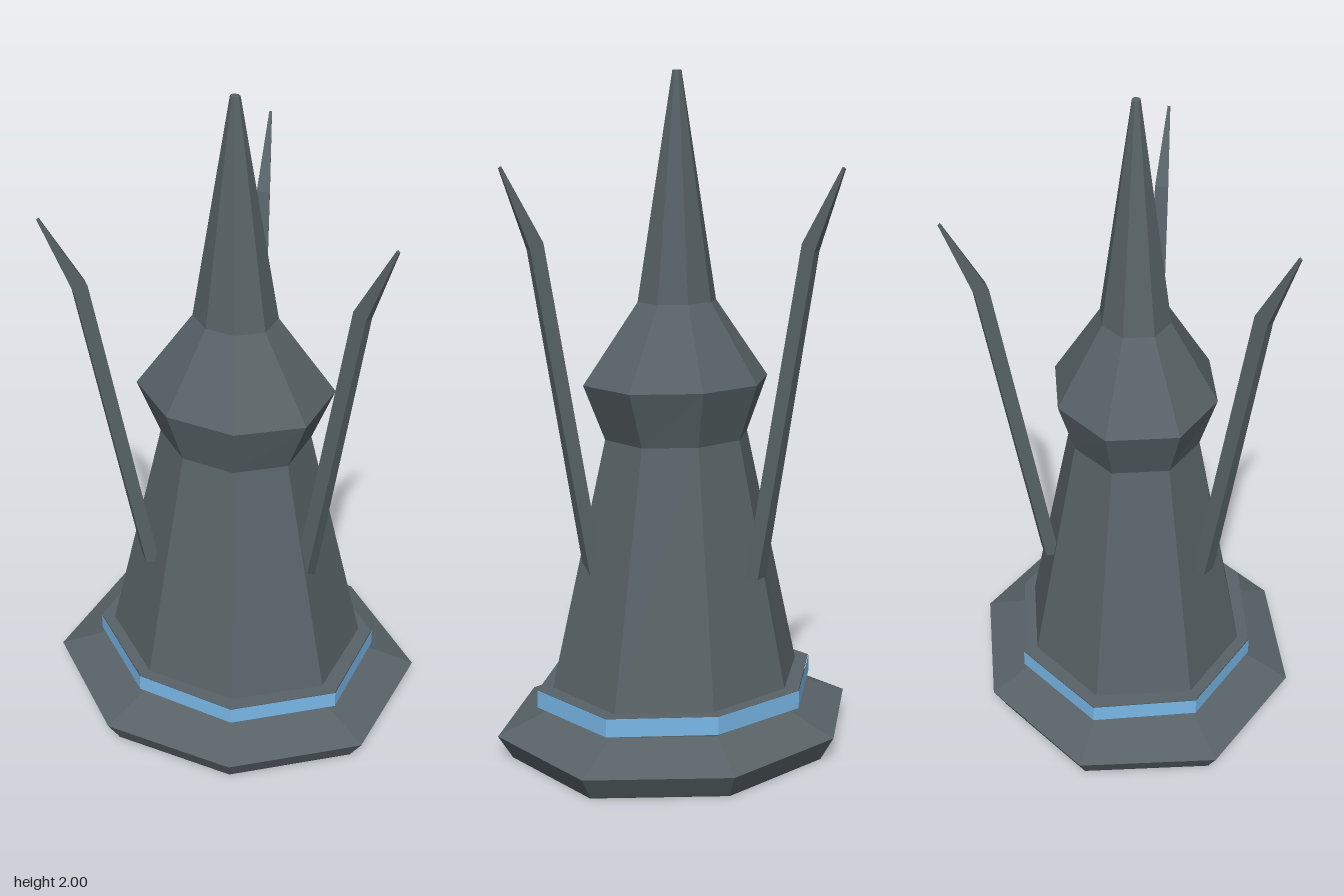
import * as THREE from 'three';

// Skin a stack of rings (bottom to top), optionally closing the ends
function loft(rings, capBottom = true, capTop = true) {
  const pos = [];
  const n = rings[0].length;
  const tri = (a, b, c) => pos.push(...a, ...b, ...c);
  for (let k = 0; k < rings.length - 1; k++) {
    for (let i = 0; i < n; i++) {
      const j = (i + 1) % n;
      const lo = rings[k], hi = rings[k + 1];
      tri(lo[i], hi[i], lo[j]);
      tri(lo[j], hi[i], hi[j]);
    }
  }
  const bottom = rings[0], top = rings[rings.length - 1];
  for (let i = 1; i < n - 1; i++) {
    if (capBottom) tri(bottom[0], bottom[i], bottom[i + 1]);
    if (capTop) tri(top[0], top[i + 1], top[i]);
  }
  const geo = new THREE.BufferGeometry();
  geo.setAttribute('position', new THREE.Float32BufferAttribute(pos, 3));
  geo.computeVertexNormals();
  return geo;
}

// Eight-sided ring from half an outline, the other half being its half turn
function ring(half, y, sx, sz = sx) {
  const all = [...half, ...half.map(([x, z]) => [-x, -z])];
  return all.map(([x, z]) => [x * sx, y, z * sz]);
}

const PLINTH = [[0.526, 0.205], [0.203, 0.464], [-0.208, 0.474], [-0.534, 0.207]];
const COLLAR = [[0.415, 0.157], [0.16, 0.362], [-0.158, 0.354], [-0.408, 0.157]];
const TOWER = [[1, 0.39], [0.39, 0.86], [-0.39, 0.86], [-1, 0.39]];

export function createModel() {
  const group = new THREE.Group();
  const material = (name, color) => {
    const mat = new THREE.MeshStandardMaterial({ color, flatShading: true });
    mat.name = name;
    return mat;
  };
  const stone = material('grey stone', 0x586266);
  const dark = material('dark underside', 0x32393c);
  const blue = material('blue band', 0x7abaea);

  const tower = new THREE.Group();
  tower.name = 'tower';
  tower.position.z = 0.023;
  group.add(tower);

  const add = (name, geo, mat) => {
    const mesh = new THREE.Mesh(geo, mat);
    mesh.name = name;
    tower.add(mesh);
    return mesh;
  };

  // Bevelled foot with a dark underside
  add('plinth', loft([
    ring(PLINTH, 0.002, 0.925), ring(PLINTH, 0.07, 1), ring(PLINTH, 0.135, 0.715), ring(PLINTH, 0.15, 0.715),
  ], false), stone);
  add('plinthUnderside', loft([ring(PLINTH, 0, 0.925), ring(PLINTH, 0.002, 0.925)]), dark);

  // Collar with a coloured upright rim
  add('collarTop', loft([ring(COLLAR, 0.19, 0.99), ring(COLLAR, 0.2, 0.995)], false), stone);
  add('collarUnderside', loft([ring(COLLAR, 0.146, 0.99), ring(COLLAR, 0.15, 0.99)]), dark);
  add('collarBand', loft([ring(COLLAR, 0.146, 1), ring(COLLAR, 0.2, 1)], false, false), blue);

  // Shaft, flared head and spire
  add('shaftAndSpire', loft([
    [0.19, 0.368, 0.373], [0.94, 0.208, 0.213], [1.105, 0.271, 0.267], [1.34, 0.114, 0.114], [2, 0.013, 0.013],
  ].map(([y, rx, rz]) => ring(TOWER, y, rx, rz))), stone);

  // Three bent blades leaning outward: height, inner and outer radius, half widths
  const section = (yIn, yOut, rIn, rOut, wIn, wOut) => [
    [rOut, yOut, -wOut], [rOut, yOut, wOut], [rIn, yIn, wIn], [rIn, yIn, -wIn],
  ];
  const bladeGeo = loft([
    section(0.545, 0.545, 0.256, 0.295, 0.03, 0.023),
    section(1.525, 1.505, 0.424, 0.461, 0.02, 0.014),
    section(1.735, 1.73, 0.537, 0.544, 0.004, 0.003),
  ]);
  [15, 135, 255].forEach((deg, i) => {
    const blade = add('blade' + (i + 1), bladeGeo, stone);
    blade.rotation.y = -THREE.MathUtils.degToRad(deg);
  });

  return group;
}
